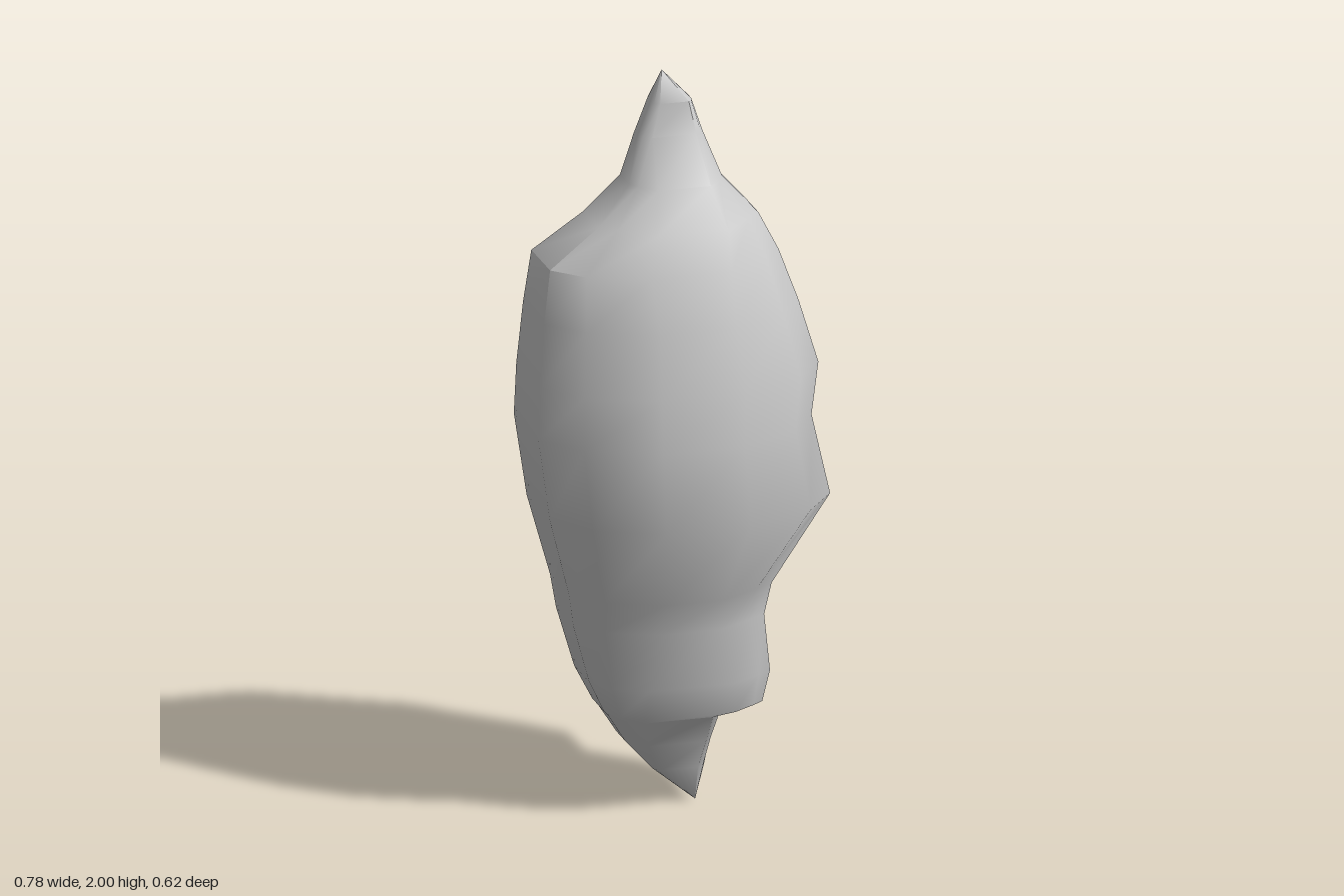
import * as THREE from 'three';
import { toCreasedNormals } from 'three/addons/utils/BufferGeometryUtils.js';

const { lerp, smoothstep } = THREE.MathUtils;

// Silhouette levels: height, right edge, left edge, front depth, back depth
const levels = [
  [0.10, -0.06, 0.08, 0.04, -0.05],
  [0.19, -0.14, 0.09, 0.10, -0.11],
  [0.27, -0.19, 0.11, 0.145, -0.155],
  [0.28, -0.20, 0.215, 0.15, -0.16],
  [0.37, -0.245, 0.23, 0.185, -0.195],
  [0.53, -0.29, 0.21, 0.21, -0.23],
  [0.62, -0.305, 0.225, 0.24, -0.24],
  [0.84, -0.365, 0.39, 0.315, -0.27],
  [1.06, -0.395, 0.34, 0.315, -0.31],
  [1.20, -0.39, 0.36, 0.30, -0.295],
  [1.37, -0.375, 0.31, 0.27, -0.265],
  [1.51, -0.355, 0.26, 0.23, -0.245],
  [1.61, -0.22, 0.21, 0.19, -0.19],
  [1.71, -0.13, 0.12, 0.115, -0.115],
  [1.83, -0.10, 0.075, 0.042, -0.045],
  [1.92, -0.065, 0.045, 0.04, -0.04],
];

// Twelve-sided outline, running from the left side round the front
function outline([y, right, left, front, back]) {
  // the broad front and back panels take up more of the width near the tips
  const panel = 0.3 + 0.4 * smoothstep(Math.abs(y - 1), 0.4, 0.9);
  const corner = lerp(1, panel, 0.32);
  // the shoulders sink in below the peak
  const bulge = 0.73 - 0.2 * Math.exp(-(((y - 1.66) / 0.1) ** 2));
  // the lip low on the left side is wider than the other side facets
  const leftSide = y > 0.275 && y < 0.7 ? 0.58 : 0.36;
  const quarter = (x, z, side) => [[x, z * side], [x * corner, z * bulge], [x * panel, z]];
  return [
    ...quarter(left, front, leftSide),
    ...quarter(right, front, 0.36).reverse(),
    ...quarter(right, back, 0.36),
    ...quarter(left, back, leftSide).reverse(),
  ];
}

// Skin over the outlines, closed on a point at each end
function loft(bottom, top) {
  const rings = levels.map((level) => outline(level).map(([x, z]) => [x, level[0], z]));
  const n = rings[0].length;
  const base = rings.length * n;
  const index = [];
  for (let i = 0; i < n; i++) {
    const j = (i + 1) % n;
    for (let r = 0; r < base - n; r += n) {
      index.push(r + i, r + n + i, r + j, r + j, r + n + i, r + n + j);
    }
    index.push(base, i, j);
    index.push(base - n + i, base + 1, base - n + j);
  }
  const geometry = new THREE.BufferGeometry();
  const positions = [...rings.flat(2), ...bottom, ...top];
  geometry.setAttribute('position', new THREE.Float32BufferAttribute(positions, 3));
  geometry.setIndex(index);
  return toCreasedNormals(geometry, 0.85);
}

export function createModel() {
  const group = new THREE.Group();
  group.name = 'rock';
  // Irregular stone body tapering to a point at both ends
  const body = new THREE.Mesh(
    loft([0.06, 0, 0], [-0.03, 2, 0]),
    new THREE.MeshStandardMaterial({ color: 0xcccccc })
  );
  body.name = 'stoneBody';
  group.add(body);
  return group;
}
